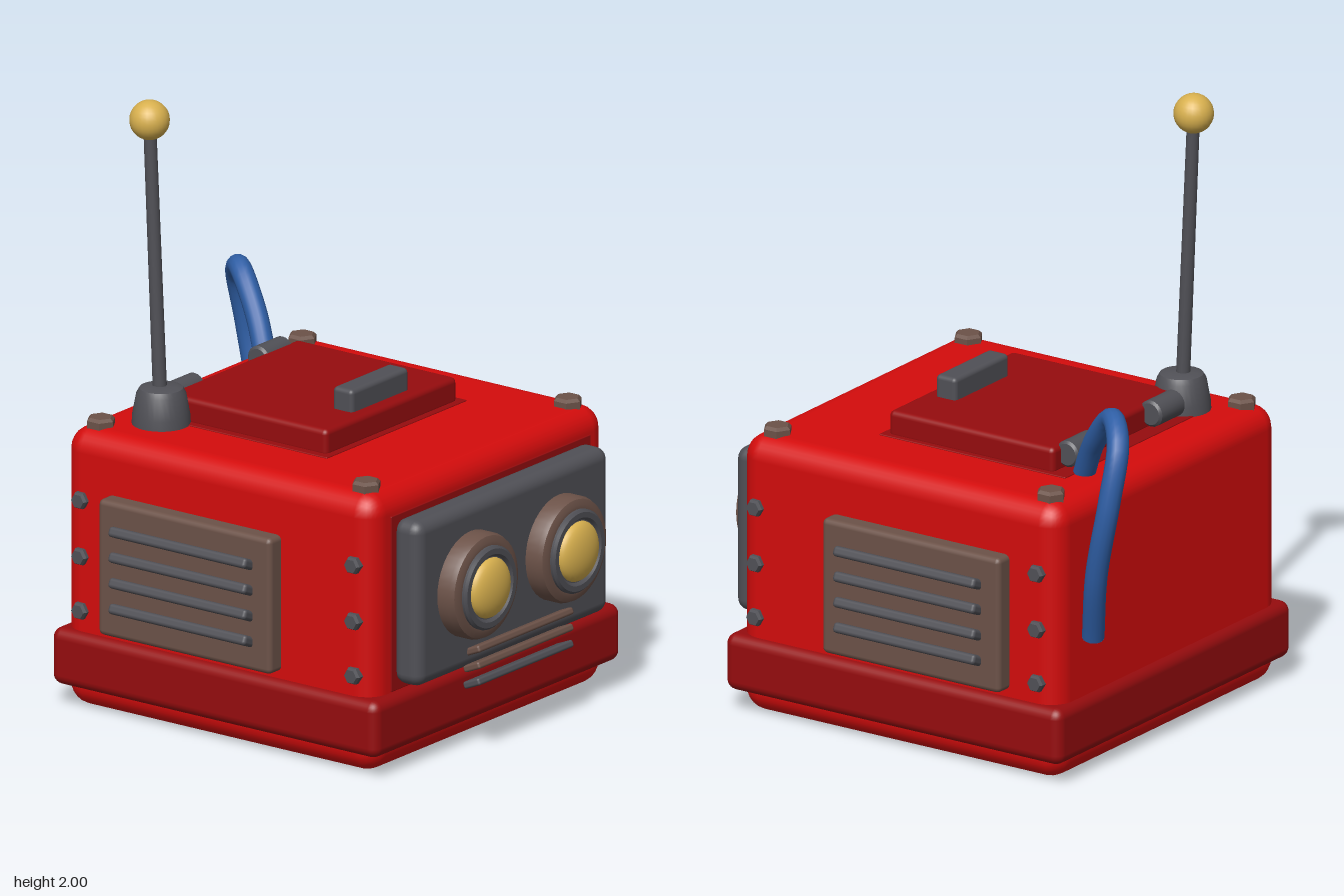
import * as THREE from 'three';
import { toCreasedNormals } from 'three/addons/utils/BufferGeometryUtils.js';
import { RoundedBoxGeometry } from 'three/addons/geometries/RoundedBoxGeometry.js';

const mat = (name, color) => {
  const m = new THREE.MeshStandardMaterial({ color });
  m.name = name;
  return m;
};

export function createModel() {
  const red = mat('red paint', 0xd40c0c);
  const darkRed = mat('dark red paint', 0x960c0e);
  const grey = mat('dark steel', 0x505056);
  const rust = mat('rusty steel', 0x6c5248);
  const gold = mat('gold', 0xd8b04e);
  const blue = mat('blue rubber', 0x2f5fa6);
  blue.side = THREE.DoubleSide;

  const root = new THREE.Group();
  root.name = 'robotHead';

  const add = (name, geo, material, x = 0, y = 0, z = 0, parent = root) => {
    const mesh = new THREE.Mesh(geo, material);
    mesh.name = name;
    mesh.position.set(x, y, z);
    parent.add(mesh);
    return mesh;
  };
  // Rounded box given by its extents on each axis
  const block = (name, material, [x0, x1], [y0, y1], [z0, z1], r) =>
    add(name, new RoundedBoxGeometry(x1 - x0, y1 - y0, z1 - z0, 3, r), material,
      (x0 + x1) / 2, (y0 + y1) / 2, (z0 + z1) / 2);
  // Turned part with crisp edges; points are [radius, height] from bottom to top
  const turned = (points, sides = 32) => toCreasedNormals(
    new THREE.LatheGeometry(points.map(p => new THREE.Vector2(...p)), sides), 0.6);
  const boltGeo = r => toCreasedNormals(turned(
    [[0, -0.02], [r, -0.02], [r, 0.012], [r * 0.8, 0.022], [0, 0.022]], 6), 0.3);

  // Shell and bumper band
  block('body', red, [-0.62, 0.62], [0, 0.93], [-0.638, 0.602], 0.075);
  block('bumperBand', darkRed, [-0.65, 0.65], [0.07, 0.26], [-0.665, 0.638], 0.035);
  block('underside', darkRed, [-0.55, 0.55], [0, 0.008], [-0.568, 0.532], 0.003);

  // Worn paint around the face and the hatch
  block('wornFaceEdge', darkRed, [-0.525, 0.525], [0.262, 0.85], [0.598, 0.606], 0.003);
  block('wornHatchEdge', darkRed, [-0.372, 0.365], [0.926, 0.934], [-0.49, 0.232], 0.003);

  // Face plate
  block('facePlate', grey, [-0.505, 0.505], [0.283, 0.835], [0.59, 0.7], 0.04);

  // Eyes: rusty housing, steel ring, gold lens
  const housing = turned([[0.175, -0.02], [0.175, 0.045], [0.168, 0.062], [0.15, 0.07],
    [0.138, 0.07], [0.13, 0.06], [0, 0.06]], 40);
  const ring = turned([[0.138, 0.05], [0.138, 0.078], [0.13, 0.086], [0.112, 0.086],
    [0.103, 0.076], [0, 0.076]], 40);
  const lens = new THREE.SphereGeometry(0.1, 32, 10, 0, Math.PI * 2, 0, Math.PI / 2);
  lens.scale(1, 0.42, 1);
  for (const side of [1, -1]) {
    const eye = new THREE.Group();
    eye.name = side > 0 ? 'leftEye' : 'rightEye';
    eye.position.set(side * 0.232, 0.57, 0.7);
    eye.rotation.x = Math.PI / 2;
    root.add(eye);
    add('eyeHousing', housing, rust, 0, 0, 0, eye);
    add('eyeRing', ring, grey, 0, 0, 0, eye);
    add('eyeLens', lens, gold, 0, 0.074, 0, eye);
  }

  // Mouth slats, tilted up at the front
  for (const y of [0.35, 0.295, 0.24]) {
    const slat = add('mouthSlat', new RoundedBoxGeometry(0.5, 0.024, 0.07, 2, 0.008),
      y > 0.25 ? rust : grey, 0, y, 0.715);
    slat.rotation.x = -0.4;
  }

  // Side vents with louvers, and side bolts
  for (const side of [1, -1]) {
    const vent = new THREE.Group();
    vent.name = side > 0 ? 'leftVent' : 'rightVent';
    root.add(vent);
    add('ventPanel', new RoundedBoxGeometry(0.09, 0.455, 0.69, 2, 0.018), rust,
      side * 0.633, 0.512, -0.107, vent);
    for (let i = 0; i < 4; i++) {
      const louver = add('louver', new RoundedBoxGeometry(0.075, 0.034, 0.55, 2, 0.012),
        grey, side * 0.683, 0.385 + i * 0.086, -0.107, vent);
      louver.rotation.z = side * 0.4;
    }
    for (const z of [0.53, -0.56]) for (const y of [0.33, 0.512, 0.7]) {
      const bolt = add('sideBolt', boltGeo(0.03), grey, side * 0.62, y, z);
      bolt.rotation.z = -side * Math.PI / 2;
    }
  }

  // Bolts on the roof corners
  for (const x of [0.53, -0.53]) for (const z of [0.51, -0.55])
    add('roofBolt', boltGeo(0.048), rust, x, 0.936, z);

  // Roof hatch with handle and hinges
  block('hatch', darkRed, [-0.345, 0.345], [0.92, 1.012], [-0.43, 0.21], 0.018);
  block('hatchHandle', grey, [-0.15, 0.15], [0.99, 1.085], [0.085, 0.165], 0.015);
  const hinge = turned([[0, -0.07], [0.036, -0.07], [0.044, -0.062], [0.044, 0.062],
    [0.036, 0.07], [0, 0.07]], 20);
  for (const x of [-0.232, 0.232])
    add('hatchHinge', hinge, grey, x, 0.985, -0.45).rotation.z = Math.PI / 2;

  // Antenna leaning slightly back
  const antenna = new THREE.Group();
  antenna.name = 'antenna';
  antenna.position.set(-0.397, 0.92, -0.41);
  root.add(antenna);
  add('antennaBase', turned([[0.095, 0], [0.093, 0.04], [0.08, 0.11], [0.07, 0.128],
    [0.05, 0.135], [0, 0.135]]), grey, 0, 0, 0, antenna);
  const mast = new THREE.Group();
  mast.name = 'mast';
  mast.rotation.x = -0.046;
  antenna.add(mast);
  add('antennaRod', new THREE.CylinderGeometry(0.021, 0.023, 0.9, 16), grey, 0, 0.54, 0, mast);
  add('antennaBall', new THREE.SphereGeometry(0.065, 24, 16), gold, 0, 1.016, 0, mast);

  // Hose arching from the roof down behind the back
  const path = new THREE.CatmullRomCurve3([
    [0.27, 0.9, -0.49], [0.325, 1.06, -0.575], [0.395, 1.183, -0.695], [0.48, 1.13, -0.775],
    [0.53, 0.95, -0.775], [0.52, 0.7, -0.72], [0.46, 0.46, -0.665],
  ].map(p => new THREE.Vector3(...p)));
  add('hose', new THREE.TubeGeometry(path, 48, 0.036, 14), blue);
  const cap = add('hoseEnd', new THREE.CircleGeometry(0.036, 14), blue);
  cap.position.copy(path.getPoint(1));
  cap.lookAt(path.getPoint(1).add(path.getTangent(1)));

  return root;
}
